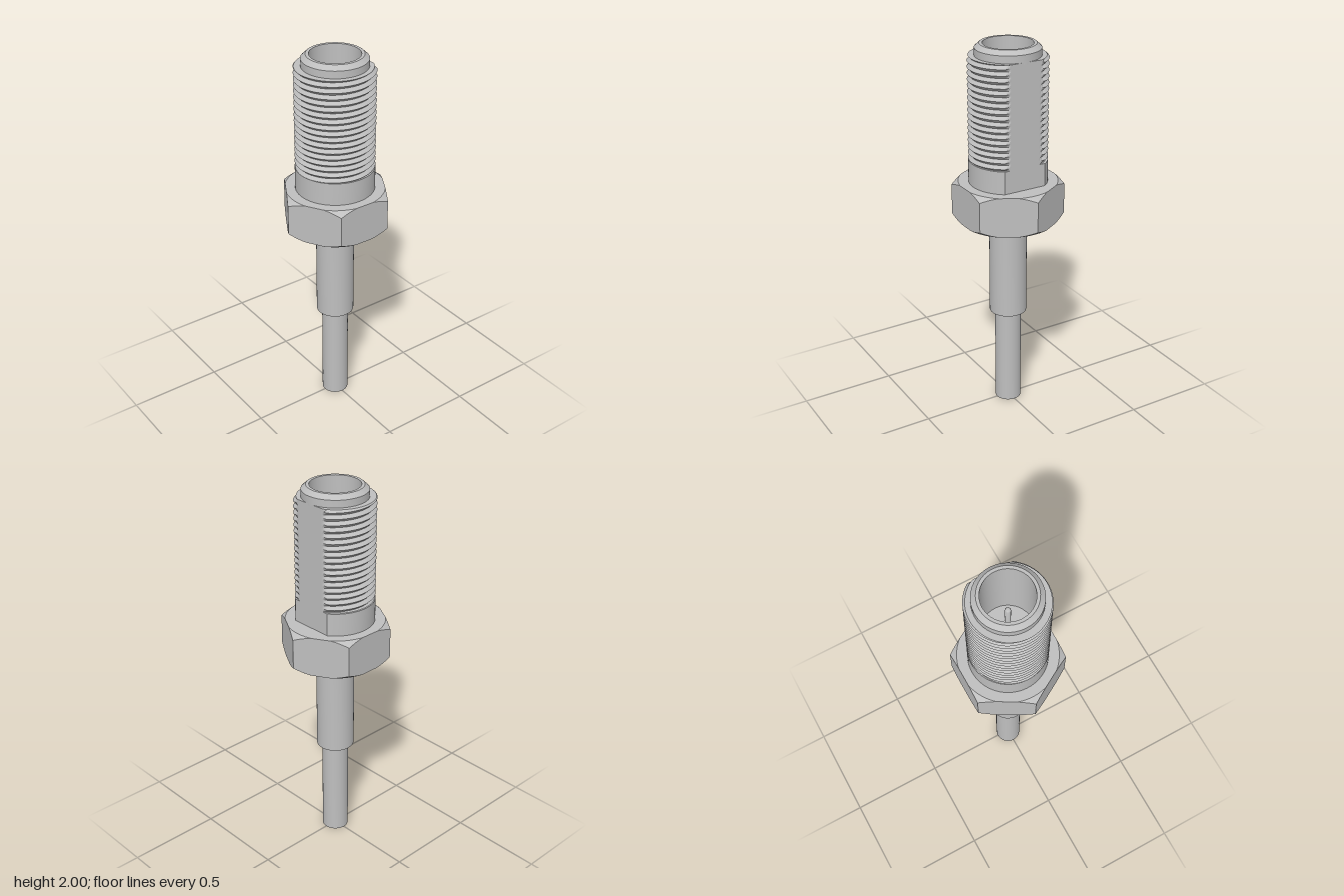
import * as THREE from 'three';
import { toCreasedNormals } from 'three/addons/utils/BufferGeometryUtils.js';

const FLAT_X = 0.166, CREST = 0.203, ROOT = 0.186;
const THREAD_BOTTOM = 1.405, THREAD_TOP = 1.94, TURNS = 17;

// Radius limited by the milled flat on the +x side
const milled = (r, a) => (Math.cos(a) > 0 ? Math.min(r, FLAT_X / Math.cos(a)) : r);

// Angles round the axis, with extra ones where the flat starts and ends
function angleList(segments) {
  const list = Array.from({ length: segments + 1 }, (_, i) => (i / segments) * Math.PI * 2);
  for (const r of [CREST, ROOT]) {
    const a = Math.acos(FLAT_X / r);
    list.push(a, Math.PI * 2 - a);
  }
  return list.sort((p, q) => p - q);
}

// Skin through rings listed from bottom to top; each ring maps an angle to [radius, y]
function skin(rings, angles, crease = 0.5) {
  const pos = [], index = [], n = angles.length;
  for (const ring of rings) {
    for (const a of angles) {
      const [r, y] = ring(a);
      pos.push(r * Math.cos(a), y, -r * Math.sin(a));
    }
  }
  for (let j = 0; j < rings.length - 1; j++) {
    for (let i = 0; i < n - 1; i++) {
      const a = j * n + i, b = a + 1, c = b + n, d = a + n;
      index.push(a, b, c, a, c, d);
    }
  }
  const g = new THREE.BufferGeometry();
  g.setAttribute('position', new THREE.Float32BufferAttribute(pos, 3));
  g.setIndex(index);
  return toCreasedNormals(g, crease);
}

export function createModel() {
  const model = new THREE.Group();
  model.name = 'coaxialConnector';
  const metal = new THREE.MeshStandardMaterial({ color: 0xbfbfbf });
  metal.name = 'grey metal';

  const add = (name, geometry) => {
    const mesh = new THREE.Mesh(geometry, metal);
    mesh.name = name;
    model.add(mesh);
  };
  const turned = (points, segments = 40) => toCreasedNormals(
    new THREE.LatheGeometry(points.map(([r, y]) => new THREE.Vector2(r, y)), segments), 0.5);

  // Cable and its ferrule
  add('cable', turned([[0, 0], [0.07, 0], [0.07, 0.55]]));
  add('ferrule', turned([[0, 0.54], [0.099, 0.54], [0.099, 1.09]]));

  // Hexagonal nut with conical chamfers on its corners
  const chamferR = 0.256, low = 1.075, high = 1.285;
  const hexR = (a) => {
    const sector = Math.PI / 3;
    return 0.251 / Math.cos((a % sector) - sector / 2);
  };
  const innerR = (a) => Math.min(hexR(a), chamferR);
  const drop = (a) => Math.max(0, hexR(a) - chamferR) * 0.75;
  const nutAngles = Array.from({ length: 97 }, (_, i) => (i / 96) * Math.PI * 2);
  add('hexNut', skin([
    () => [0, low],
    (a) => [innerR(a), low],
    (a) => [hexR(a), low + drop(a)],
    (a) => [hexR(a), high - drop(a)],
    (a) => [innerR(a), high],
    () => [0, high],
  ], nutAngles, 0.4));

  // Plain collar with the flat
  const angles = angleList(72);
  add('collar', skin([
    (a) => [milled(CREST, a), high - 0.01],
    (a) => [milled(CREST, a), THREAD_BOTTOM],
    () => [0.1, THREAD_BOTTOM],
  ], angles));

  // Helical thread: rings climb one pitch per turn and alternate root and crest
  const pitch = (THREAD_TOP - THREAD_BOTTOM) / TURNS;
  const threadRings = [];
  for (let k = 0; k <= 2 * (TURNS + 1); k++) {
    threadRings.push((a) => {
      const turn = a / (Math.PI * 2);
      const y = THREE.MathUtils.clamp(
        THREAD_BOTTOM + pitch * (k / 2 + turn - 1), THREAD_BOTTOM, THREAD_TOP);
      const phase = (y - THREAD_BOTTOM) / pitch - turn + 1;
      const depth = Math.abs(2 * (phase - Math.floor(phase)) - 1);
      return [milled(CREST + (ROOT - CREST) * depth, a), y];
    });
  }
  threadRings.push(() => [0.14, THREAD_TOP]);
  add('thread', skin(threadRings, angles));

  // Chamfered mouth and the bore inside it
  add('mouth', turned([
    [0.14, 1.93], [0.167, 1.93], [0.167, 1.978], [0.143, 2], [0.127, 2], [0.127, 1.6], [0, 1.6],
  ]));

  // Round-ended centre contact
  const pin = [[0.015, 1.59]];
  for (let i = 0; i <= 6; i++) {
    const t = (i / 6) * Math.PI / 2;
    pin.push([0.015 * Math.cos(t), 1.83 + 0.015 * Math.sin(t)]);
  }
  add('centrePin', turned(pin, 20));

  return model;
}
